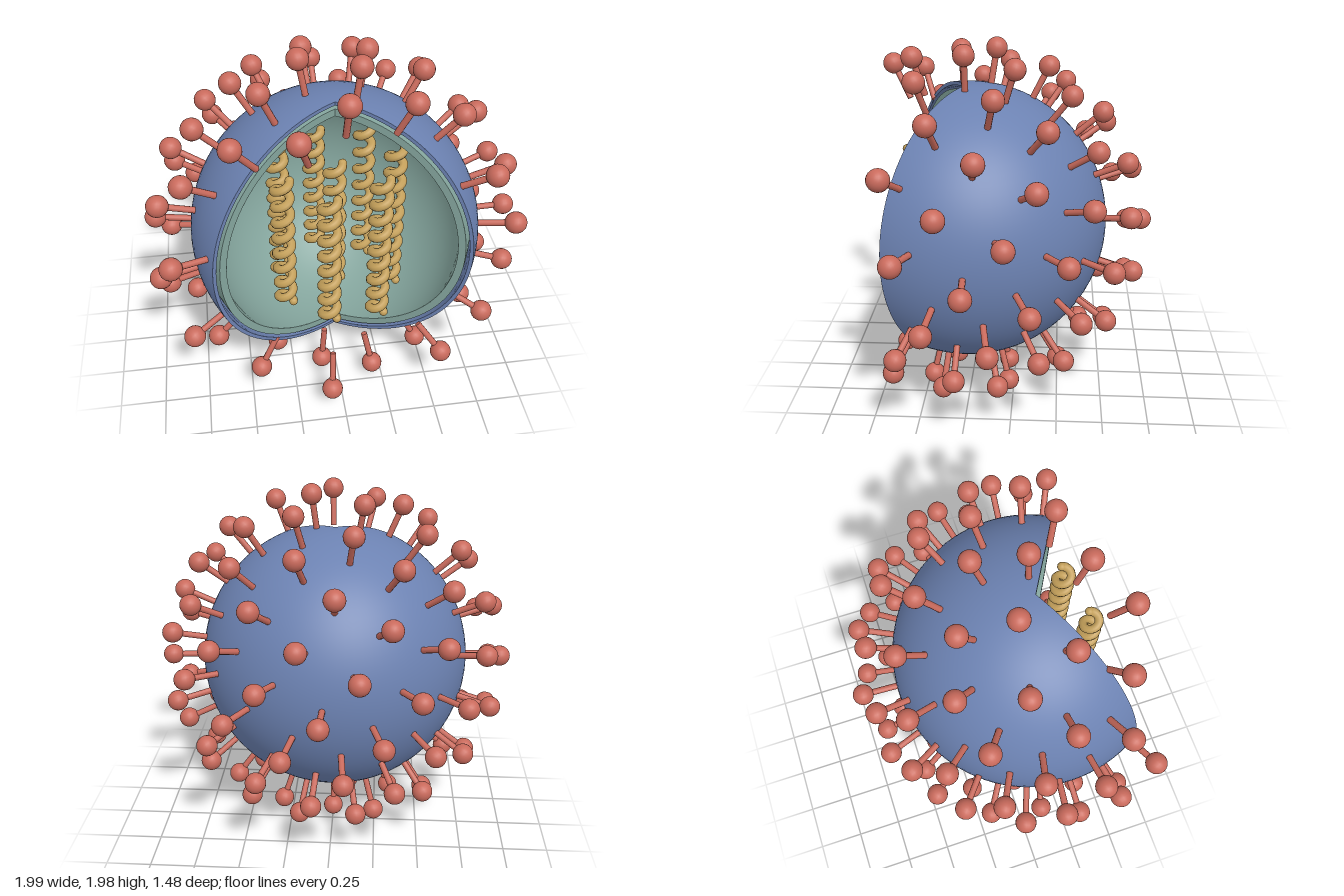
import * as THREE from 'three';

const rad = THREE.MathUtils.degToRad;

function material(name, color, side = THREE.FrontSide) {
  const m = new THREE.MeshStandardMaterial({ color, side });
  m.name = name;
  return m;
}

function add(parent, name, geometry, mat) {
  const mesh = new THREE.Mesh(geometry, mat);
  mesh.name = name;
  parent.add(mesh);
  return mesh;
}

// Hollow sphere with a 120 degree wedge missing at the front, closed by flat cut faces
function cutShell(name, outer, inner, mat) {
  const shell = new THREE.Group();
  shell.name = name;
  for (const [part, r] of [['OuterSurface', outer], ['InnerSurface', inner]]) {
    add(shell, name + part, new THREE.SphereGeometry(r, 64, 48, rad(-210), rad(240)), mat);
  }
  for (const [part, angle] of [['LeftCutFace', 30], ['RightCutFace', 150]]) {
    const ring = new THREE.RingGeometry(inner, outer, 64, 1, -Math.PI / 2, Math.PI);
    add(shell, name + part, ring, mat).rotation.y = rad(-angle);
  }
  return shell;
}

// Upright coil, centred on the origin
class Coil extends THREE.Curve {
  constructor(radius, length, turns) {
    super();
    Object.assign(this, { radius, length, turns });
  }
  getPoint(t, target = new THREE.Vector3()) {
    const a = t * this.turns * Math.PI * 2;
    return target.set(this.radius * Math.cos(a), (t - 0.5) * this.length, -this.radius * Math.sin(a));
  }
}

export function createModel() {
  const blue = material('envelope blue', 0x6c82b2, THREE.DoubleSide);
  const teal = material('lining teal', 0x84a59d, THREE.DoubleSide);
  const red = material('spike red', 0xc96a5c);
  const gold = material('coil gold', 0xc4a05a);

  const model = new THREE.Group();
  model.name = 'cutawayParticle';
  const body = new THREE.Group();
  body.name = 'body';
  body.position.set(0, 0.995, 0.252);
  model.add(body);

  // Envelope and lining
  body.add(cutShell('envelope', 0.755, 0.735, blue));
  body.add(cutShell('lining', 0.715, 0.675, teal));

  // Spikes spread evenly over the sphere, leaving the front open
  const count = 110, reach = 0.944;
  const golden = Math.PI * (3 - Math.sqrt(5));
  const stem = new THREE.CylinderGeometry(0.017, 0.017, 0.18, 10);
  stem.translate(0, 0.825, 0);
  const knob = new THREE.SphereGeometry(0.057, 20, 14);
  knob.translate(0, reach, 0);
  const up = new THREE.Vector3(0, 1, 0);
  for (let i = 0; i < count; i++) {
    const y = 1 - (2 * i + 1) / count;
    const r = Math.sqrt(1 - y * y);
    const dir = new THREE.Vector3(r * Math.cos(golden * i), y, -r * Math.sin(golden * i));
    if (dir.z > 0.47) continue;
    const spike = new THREE.Group();
    spike.name = 'spike';
    add(spike, 'spikeStem', stem, red);
    add(spike, 'spikeKnob', knob, red);
    spike.quaternion.setFromUnitVectors(up, dir);
    body.add(spike);
  }

  // Seven coils in a circle and one in the middle
  const lengths = [0.92, 0.9, 0.8, 0.82, 0.9, 0.8, 0.88, 0.78];
  const endCap = new THREE.SphereGeometry(0.024, 10, 8);
  lengths.forEach((length, i) => {
    const coil = new THREE.Group();
    coil.name = 'coil';
    const curve = new Coil(0.04, length, Math.round(length / 0.105));
    add(coil, 'coilStrand', new THREE.TubeGeometry(curve, 200, 0.024, 8), gold);
    for (const t of [0, 1]) curve.getPoint(t, add(coil, 'coilEnd', endCap, gold).position);
    if (i < 7) {
      const a = (i / 7) * Math.PI * 2;
      coil.position.set(0.315 * Math.cos(a), 0, 0.315 * Math.sin(a));
    }
    body.add(coil);
  });

  return model;
}
